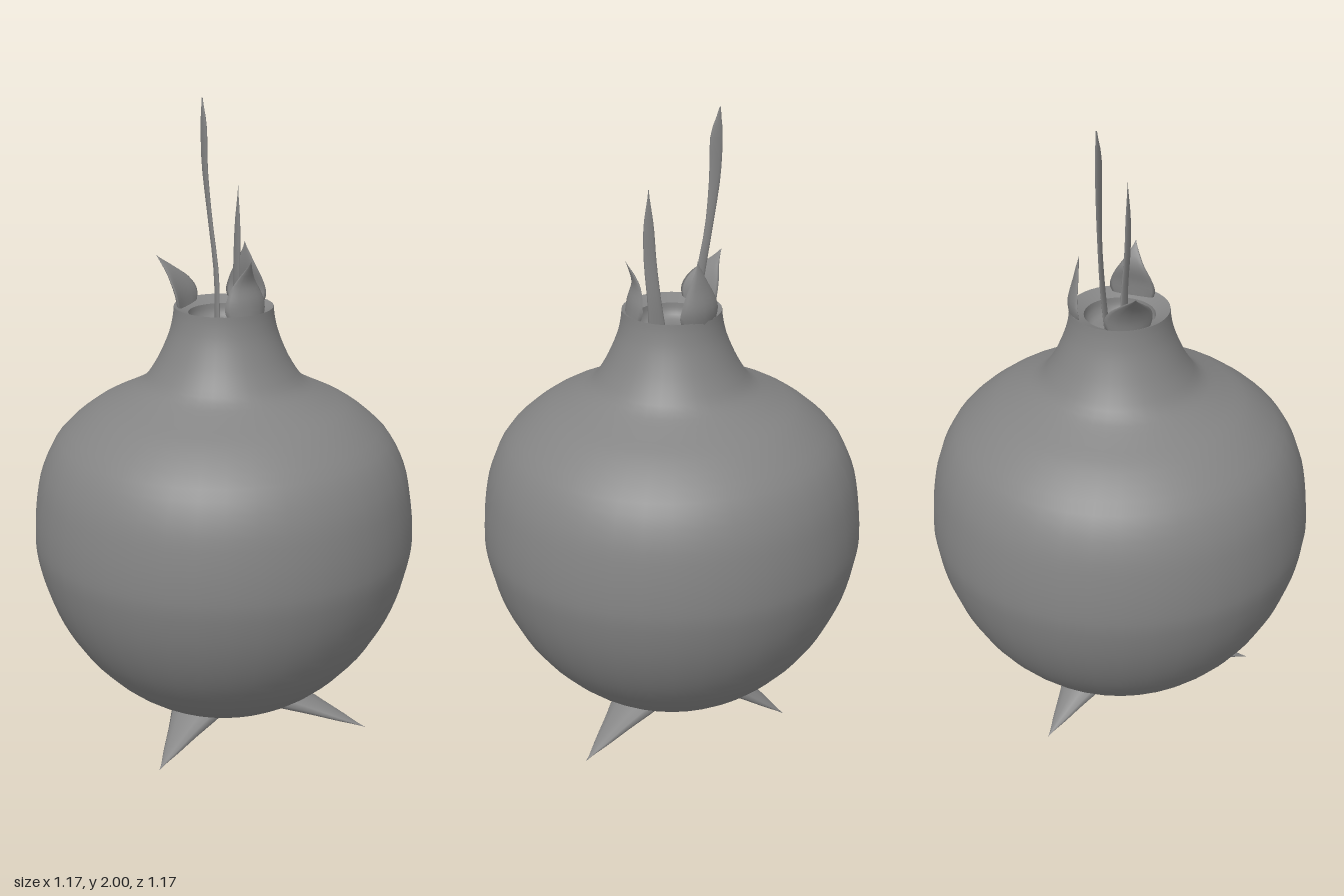
import * as THREE from 'three';

const material = new THREE.MeshStandardMaterial({ color: 0x848484, side: THREE.DoubleSide });
const SEGMENTS = 40;

function addMesh(parent, name, geometry) {
  const mesh = new THREE.Mesh(geometry, material);
  mesh.name = name;
  parent.add(mesh);
}

// Smooth surface of revolution through a few [radius, y] points
function revolve(points, steps) {
  const curve = new THREE.SplineCurve(points.map(([r, y]) => new THREE.Vector2(r, y)));
  const profile = curve.getPoints(steps);
  profile.forEach((p) => { p.x = Math.max(p.x, 0); });
  return new THREE.LatheGeometry(profile, SEGMENTS);
}

// Flattened, tapering blade along a path. sizes: [half width, half thickness] from base to tip.
// cup bends the cross-section so that its edges curl against the normal.
function blade(path, sizes, side, cup = 0, rings = 14, sides = 12) {
  const curve = new THREE.CatmullRomCurve3(path.map((p) => new THREE.Vector3(...p)));
  const taper = new THREE.SplineCurve(sizes.map(([w, t]) => new THREE.Vector2(w, t)));
  const positions = [];
  const index = [];
  for (let i = 0; i <= rings; i++) {
    const center = curve.getPoint(i / rings);
    const size = taper.getPoint(i / rings);
    const normal = curve.getTangent(i / rings).cross(side).normalize();
    for (let j = 0; j < sides; j++) {
      const a = (j / sides) * Math.PI * 2;
      const u = size.x * Math.cos(a);
      const p = center.clone().addScaledVector(side, u)
        .addScaledVector(normal, size.y * Math.sin(a) - cup * u * u);
      positions.push(p.x, p.y, p.z);
      if (i < rings) {
        const k = i * sides + j;
        const n = i * sides + ((j + 1) % sides);
        index.push(k, n, k + sides, n, n + sides, k + sides);
      }
    }
  }
  const geometry = new THREE.BufferGeometry();
  geometry.setAttribute('position', new THREE.Float32BufferAttribute(positions, 3));
  geometry.setIndex(index);
  geometry.computeVertexNormals();
  return geometry;
}

// Blade whose path lies in the vertical plane through direction (x, z); profile is [radius, y]
function radialBlade(x, z, profile, sizes, cup) {
  const out = new THREE.Vector3(x, 0, z).normalize();
  const side = out.clone().cross(new THREE.Vector3(0, 1, 0));
  return blade(profile.map(([r, y]) => [out.x * r, y, out.z * r]), sizes, side, cup);
}

export function createModel() {
  const model = new THREE.Group();
  model.name = 'bulbFruit';

  // Round body with a sloping shoulder running into the flared neck
  addMesh(model, 'bodyAndNeck', revolve([
    [0, 0.1], [0.11, 0.105], [0.22, 0.14], [0.33, 0.205], [0.43, 0.3], [0.5, 0.4], [0.55, 0.51],
    [0.579, 0.62], [0.585, 0.7], [0.577, 0.8], [0.555, 0.9], [0.505, 0.995], [0.41, 1.078],
    [0.32, 1.125], [0.25, 1.165], [0.212, 1.215], [0.184, 1.27], [0.163, 1.325], [0.153, 1.37],
    [0.15, 1.4],
  ], 57));

  // Rim and shallow hollow in the neck
  addMesh(model, 'rim', new THREE.LatheGeometry(
    [new THREE.Vector2(0.15, 1.4), new THREE.Vector2(0.107, 1.38)], SEGMENTS));
  addMesh(model, 'hollow', revolve(
    [[0.107, 1.38], [0.103, 1.355], [0.085, 1.335], [0.04, 1.335], [0, 1.345]], 14));

  // Crown leaves around the rim
  const leafSizes = [[0.058, 0.012], [0.072, 0.01], [0.059, 0.008], [0.027, 0.006], [0, 0]];
  const leaves = [
    ['frontCrownLeaf', 0.015, 0.13, [[0.132, 1.37], [0.126, 1.43], [0.114, 1.49], [0.142, 1.56]]],
    ['backCrownLeaf', -0.115, -0.147, [[0.13, 1.37], [0.142, 1.43], [0.172, 1.485], [0.225, 1.535]]],
    ['sideCrownLeaf', 0.12, -0.068, [[0.135, 1.37], [0.145, 1.43], [0.13, 1.5], [0.118, 1.575]]],
  ];
  for (const [name, x, z, profile] of leaves) {
    addMesh(model, name, radialBlade(x, z, profile, leafSizes, 3.5));
  }

  // Two thin stalks rising from the hollow
  const depth = new THREE.Vector3(0, 0, 1);
  addMesh(model, 'tallStalk', blade(
    [[0.01, 1.33, -0.06], [0.016, 1.48, -0.078], [0.01, 1.65, -0.108], [0.003, 1.8, -0.126],
      [0.002, 1.92, -0.13], [0.002, 2, -0.14]],
    [[0.014, 0.005], [0.014, 0.005], [0.012, 0.005], [0.017, 0.005], [0.018, 0.005], [0.002, 0.002]],
    depth));
  addMesh(model, 'shortStalk', blade(
    [[0.008, 1.33, 0.045], [0.012, 1.43, 0.055], [0.008, 1.55, 0.066], [0.008, 1.66, 0.07],
      [0.01, 1.775, 0.07]],
    [[0.026, 0.006], [0.021, 0.006], [0.019, 0.005], [0.015, 0.004], [0, 0]], depth));

  // Pointed roots under the body, tapering straight to their tips
  const rootSizes = [[0.1, 0.045], [0.078, 0.034], [0.05, 0.022], [0.025, 0.011], [0, 0]];
  const roots = [
    ['rightRoot', -0.355, 0.05, 0.25],
    ['leftRoot', 0.335, 0.06, 0.325],
    ['backRoot', 0.08, 0, -0.358],
  ];
  for (const [name, x, y, z] of roots) {
    const r = Math.hypot(x, z);
    const profile = [0, 0.33, 0.67, 1].map((t) => [
      THREE.MathUtils.lerp(0.13, r, t),
      THREE.MathUtils.lerp(0.165, y, t),
    ]);
    addMesh(model, name, radialBlade(x, z, profile, rootSizes, 0));
  }

  return model;
}
